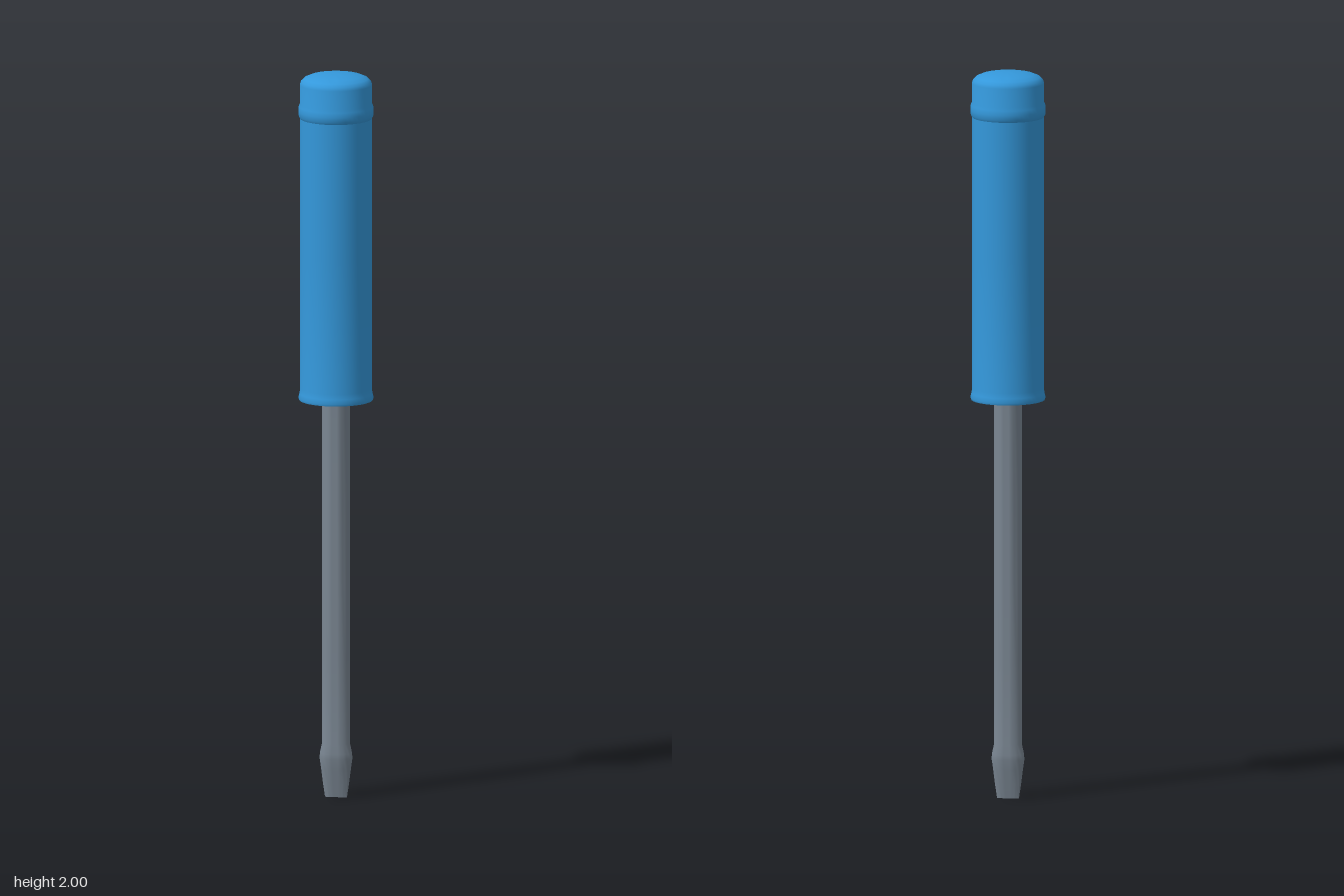
import * as THREE from 'three';
import { toCreasedNormals } from 'three/addons/utils/BufferGeometryUtils.js';

const vec = ([x, y]) => new THREE.Vector2(x, y);

export function createModel() {
  const blue = new THREE.MeshStandardMaterial({ name: 'handle blue', color: 0x3498db });
  const steel = new THREE.MeshStandardMaterial({ name: 'steel grey', color: 0x7b8793 });
  const model = new THREE.Group();
  model.name = 'screwdriver';

  const add = (name, geometry, material) => {
    const mesh = new THREE.Mesh(toCreasedNormals(geometry, 0.6), material);
    mesh.name = name;
    model.add(mesh);
  };

  // Grip: recessed underside, flared lower rim and a straight body
  add('grip', new THREE.LatheGeometry([
    [0.03, 1.13], [0.06, 1.125], [0.078, 1.112], [0.088, 1.1], [0.1, 1.098],
    [0.102, 1.104], [0.099, 1.116], [0.097, 1.13], [0.097, 1.5], [0.097, 1.875],
  ].map(vec), 48), blue);

  // End cap: collar bead, short neck and a shallow dome
  add('endCap', new THREE.LatheGeometry([
    [0.097, 1.875], [0.101, 1.882], [0.102, 1.895], [0.101, 1.908], [0.098, 1.916],
    [0.098, 1.968], [0.095, 1.977], [0.087, 1.985], [0.07, 1.992], [0.045, 1.997], [0.02, 1.9995], [0, 2],
  ].map(vec), 48), blue);

  // Shaft and blade: a turned rod flattened in z towards the tip
  // Each row is height, half width in x, half depth in z
  const sections = [
    [0, 0.03, 0.004], [0.04, 0.036, 0.013], [0.08, 0.041, 0.021], [0.108, 0.045, 0.027],
    [0.122, 0.044, 0.028], [0.15, 0.038, 0.026], [0.38, 0.038, 0.028],
    [0.6, 0.038, 0.031], [0.82, 0.038, 0.034], [1.14, 0.038, 0.038],
  ];
  const points = [[0, 0], ...sections.map(([y, x]) => [x, y])].map(vec);
  const shaft = new THREE.LatheGeometry(points, 32);
  const pos = shaft.attributes.position;
  for (let i = 0; i < pos.count; i++) {
    const row = sections[Math.max(0, (i % points.length) - 1)];
    pos.setZ(i, pos.getZ(i) * row[2] / row[1]);
  }
  add('shaftAndBlade', shaft, steel);

  return model;
}
